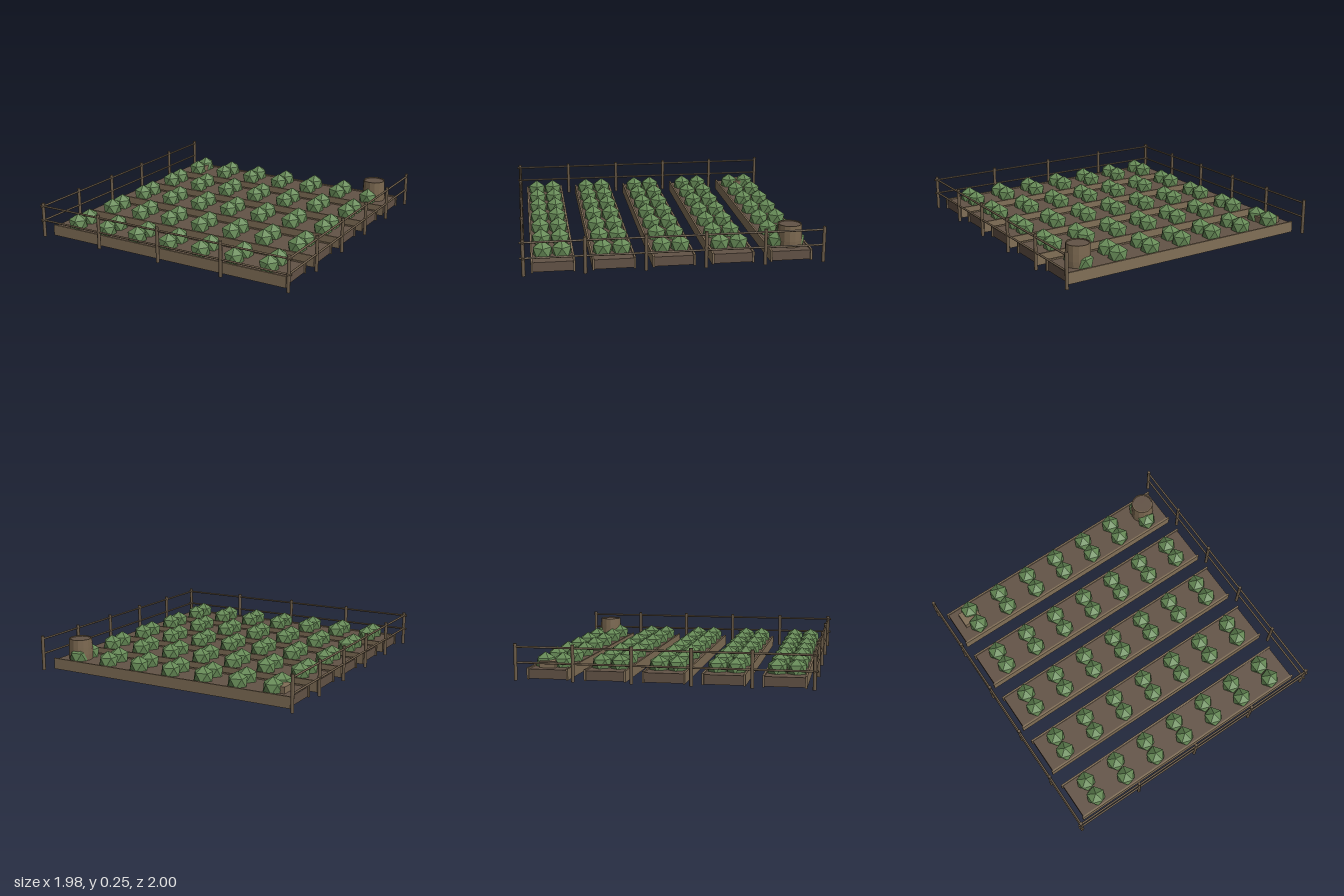
import * as THREE from 'three';

function mat(name, color, extra = {}) {
  const m = new THREE.MeshStandardMaterial({ color, ...extra });
  m.name = name;
  return m;
}

// Icosahedron standing on one vertex, so its crown is a five-sided fan
function bushGeometry(r) {
  const g = new THREE.IcosahedronGeometry(r, 0);
  const t = (1 + Math.sqrt(5)) / 2;
  const up = new THREE.Vector3(0, 1, t).normalize();
  g.applyQuaternion(new THREE.Quaternion().setFromUnitVectors(up, new THREE.Vector3(0, 1, 0)));
  // turn one crown corner to +x
  const p = g.attributes.position;
  for (let i = 0; i < p.count; i++) {
    const y = p.getY(i);
    if (y > 0.3 * r && y < 0.6 * r) {
      g.rotateY(Math.atan2(p.getZ(i), p.getX(i)));
      break;
    }
  }
  return g;
}

export function createModel() {
  const model = new THREE.Group();
  model.name = 'vegetableGarden';
  const soil = mat('soil brown', 0x635346);
  const plank = mat('plank wood', 0x816f57);
  const fence = mat('fence wood', 0x6e5e4a);
  const leaf = mat('leaf green', 0x668a56, { flatShading: true });
  const stave = mat('barrel wood', 0x7b6850, { flatShading: true, side: THREE.DoubleSide });

  const add = (parent, name, geo, material, x, y, z) => {
    const m = new THREE.Mesh(geo, material);
    m.name = name;
    m.position.set(x, y, z);
    parent.add(m);
    return m;
  };

  // Five raised beds, each with two rows of seven bushes
  const bush = bushGeometry(0.072);
  const soilGeo = new THREE.BoxGeometry(1.83, 0.064, 0.262);
  const boardGeo = new THREE.BoxGeometry(1.85, 0.077, 0.013);
  for (let i = -2; i <= 2; i++) {
    const bed = new THREE.Group();
    bed.name = 'raisedBed';
    bed.position.z = i * 0.392;
    model.add(bed);
    add(bed, 'soil', soilGeo, soil, 0, 0.036, 0);
    for (const s of [-1, 1]) {
      add(bed, 'sideBoard', boardGeo, plank, 0, 0.0385, s * 0.135);
      for (let k = -3; k <= 3; k++) add(bed, 'bush', bush, leaf, k * 0.255, 0.093, s * 0.063);
    }
  }

  // Fence on the left, right and front
  const postGeo = new THREE.CylinderGeometry(0.012, 0.012, 0.245, 8);
  const addPost = (x, z) => add(model, 'fencePost', postGeo, fence, x, 0.1225, z);
  const sideRail = new THREE.CylinderGeometry(0.007, 0.007, 1.99, 8).rotateX(Math.PI / 2);
  const frontRail = new THREE.CylinderGeometry(0.007, 0.007, 1.98, 8).rotateZ(Math.PI / 2);
  for (const s of [-1, 1]) {
    for (let k = 0; k < 6; k++) addPost(s * 0.968, -0.986 + k * 0.392);
  }
  for (const x of [-0.484, 0, 0.484]) addPost(x, 0.974);
  for (const y of [0.119, 0.223]) {
    for (const s of [-1, 1]) add(model, 'sideRail', sideRail, fence, s * 0.968, y, 0.002);
    add(model, 'frontRail', frontRail, fence, 0, y, 0.974);
  }

  // Barrel with a raised rim and a recessed lid
  const barrel = new THREE.Group();
  barrel.name = 'barrel';
  barrel.position.set(0.78, 0, -0.805);
  model.add(barrel);
  const profile = [[0, 0], [0.074, 0], [0.083, 0.06], [0.085, 0.11], [0.083, 0.16], [0.08, 0.216], [0.073, 0.216], [0.073, 0.207]]
    .map(([r, y]) => new THREE.Vector2(r, y));
  add(barrel, 'barrelStaves', new THREE.LatheGeometry(profile, 14), stave, 0, 0, 0);
  add(barrel, 'barrelLid', new THREE.CylinderGeometry(0.073, 0.073, 0.006, 14), soil, 0, 0.206, 0);

  // Small crate in the opposite back corner
  add(model, 'crate', new THREE.BoxGeometry(0.135, 0.112, 0.11), plank, -0.787, 0.056, -0.807);

  return model;
}
